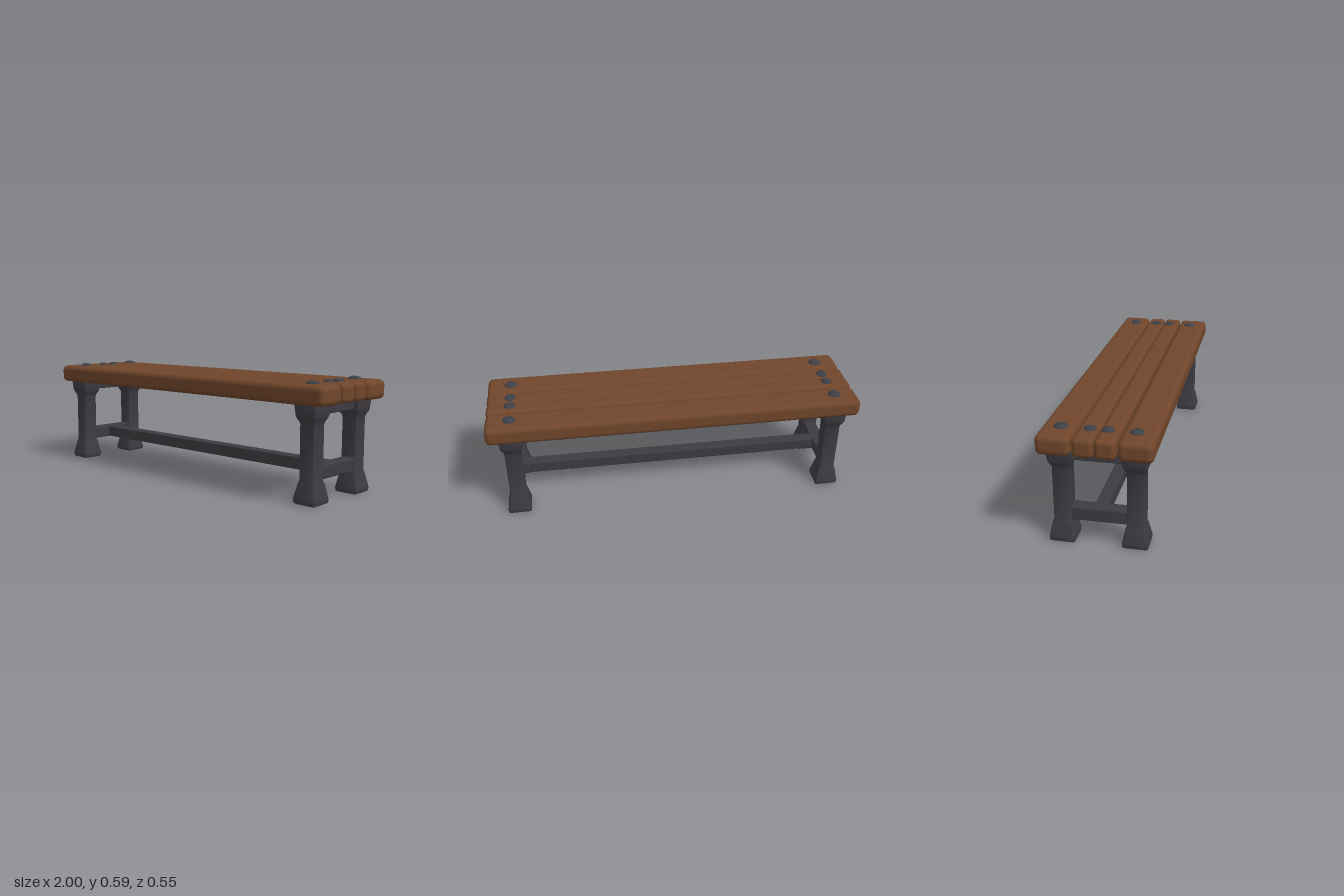
import * as THREE from 'three';
import { toCreasedNormals } from 'three/addons/utils/BufferGeometryUtils.js';
import { RoundedBoxGeometry } from 'three/addons/geometries/RoundedBoxGeometry.js';

// Square column with rounded corners, lofted through [halfWidth, y] levels
function loftColumn(levels, corner) {
  const steps = 4, ring = 4 * (steps + 1), pos = [], index = [];
  for (const [half, y] of levels) {
    const r = Math.min(corner, half * 0.5);
    for (let q = 0; q < 4; q++) {
      const mid = (q + 0.5) * Math.PI / 2;
      const cx = Math.sign(Math.cos(mid)) * (half - r);
      const cz = Math.sign(Math.sin(mid)) * (half - r);
      for (let s = 0; s <= steps; s++) {
        const a = (q + s / steps) * Math.PI / 2;
        pos.push(cx + r * Math.cos(a), y, cz + r * Math.sin(a));
      }
    }
  }
  const last = levels.length - 1;
  for (let l = 0; l < last; l++) {
    for (let i = 0; i < ring; i++) {
      const a = l * ring + i, b = l * ring + (i + 1) % ring;
      index.push(a, a + ring, b, b, a + ring, b + ring);
    }
  }
  // end caps
  for (let i = 1; i < ring - 1; i++) {
    index.push(0, i, i + 1);
    index.push(last * ring, last * ring + i + 1, last * ring + i);
  }
  const g = new THREE.BufferGeometry();
  g.setAttribute('position', new THREE.Float32BufferAttribute(pos, 3));
  g.setIndex(index);
  return toCreasedNormals(g, 0.7);
}

// Low domed bolt head
function boltHead(radius, height) {
  const profile = [[radius, -0.02], [radius, 0], [radius * 0.88, height * 0.45],
    [radius * 0.62, height * 0.88], [radius * 0.4, height], [0, height]];
  return new THREE.LatheGeometry(profile.map(([x, y]) => new THREE.Vector2(x, y)), 20);
}

export function createModel() {
  const model = new THREE.Group();
  model.name = 'bench';
  const wood = new THREE.MeshStandardMaterial({ color: 0x70462b });
  wood.name = 'brown wood';
  const iron = new THREE.MeshStandardMaterial({ color: 0x3d3b41 });
  iron.name = 'dark iron';
  const steel = new THREE.MeshStandardMaterial({ color: 0x3c4047 });
  steel.name = 'bolt steel';

  const add = (name, geometry, material, x, y, z) => {
    const mesh = new THREE.Mesh(geometry, material);
    mesh.name = name;
    mesh.position.set(x, y, z);
    model.add(mesh);
  };

  const legX = 0.876, legZ = 0.177;

  // Seat: two wide outer planks and two narrow inner ones, bolted at both ends
  const wide = new RoundedBoxGeometry(2, 0.098, 0.164, 4, 0.028);
  const narrow = new RoundedBoxGeometry(2, 0.096, 0.099, 4, 0.024);
  const wideBolt = boltHead(0.035, 0.016);
  const narrowBolt = boltHead(0.031, 0.014);
  for (const side of [1, -1]) {
    add('outerPlank', wide, wood, 0, 0.529, side * 0.191);
    add('innerPlank', narrow, wood, 0, 0.53, side * 0.0515);
    for (const end of [1, -1]) {
      add('outerBolt', wideBolt, steel, end * 0.873, 0.576, side * 0.178 - 0.002);
      add('innerBolt', narrowBolt, steel, end * 0.873, 0.576, side * 0.0425);
    }
  }

  // Legs with flared feet and heads
  const leg = loftColumn([
    [0.055, 0], [0.061, 0.004], [0.064, 0.018], [0.0625, 0.03], [0.05, 0.09], [0.048, 0.1],
    [0.043, 0.112], [0.043, 0.385], [0.046, 0.397], [0.056, 0.416], [0.059, 0.425],
    [0.064, 0.475], [0.063, 0.49], [0.058, 0.495],
  ], 0.01);

  // End frames: legs joined by a low and a high cross rail
  const lowRail = new RoundedBoxGeometry(0.072, 0.069, 0.32, 3, 0.008);
  const highRail = new RoundedBoxGeometry(0.076, 0.072, 0.32, 3, 0.008);
  for (const end of [1, -1]) {
    for (const side of [1, -1]) add('leg', leg, iron, end * legX, 0, side * legZ);
    add('lowerCrossRail', lowRail, iron, end * legX, 0.149, 0);
    add('upperCrossRail', highRail, iron, end * legX, 0.466, 0);
  }

  // Long stretcher between the end frames
  add('stretcher', new RoundedBoxGeometry(1.74, 0.066, 0.066, 3, 0.008), iron, 0, 0.149, 0);

  return model;
}
